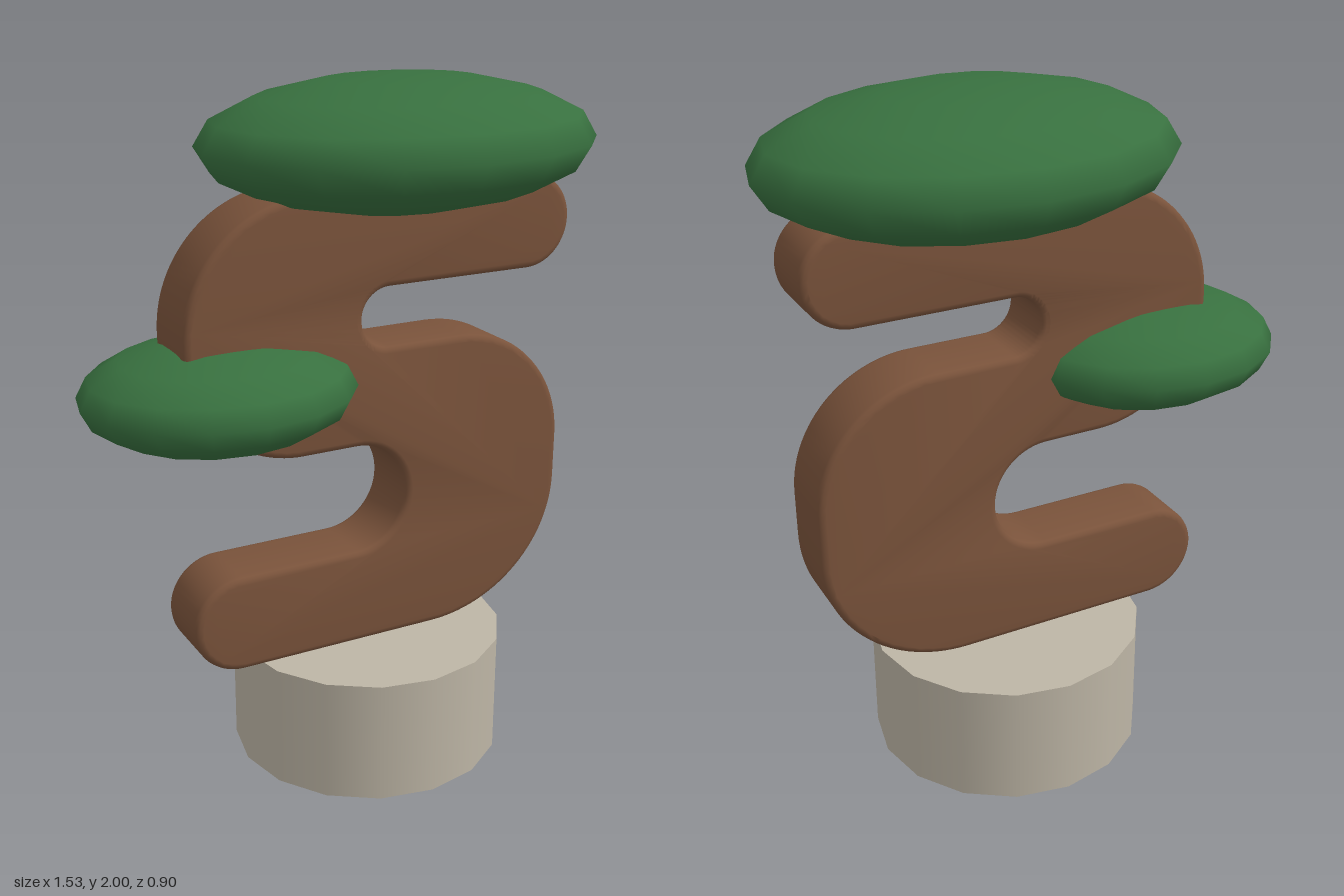
import * as THREE from 'three';
import { toCreasedNormals } from 'three/addons/utils/BufferGeometryUtils.js';

const material = (name, color) => {
  const m = new THREE.MeshStandardMaterial({ color });
  m.name = name;
  return m;
};

// S-shaped outline of the trunk, counter-clockwise from the bottom bar
function trunkOutline() {
  const s = new THREE.Shape();
  const q = Math.PI / 2;
  s.moveTo(-0.365, 0.365);
  s.lineTo(0.26, 0.365);
  // outer right bend
  s.absellipse(0.26, 0.77, 0.43, 0.405, -q, 0, false, 0);
  s.lineTo(0.69, 0.905);
  s.absarc(0.33, 0.905, 0.36, 0, q, false);
  // upper notch
  s.lineTo(0.1, 1.265);
  s.absarc(0.1, 1.35, 0.085, -q, -2 * q, true);
  s.absarc(0.1, 1.35, 0.085, 2 * q, q, true);
  // rounded end of the top bar
  s.lineTo(0.555, 1.435);
  s.absarc(0.555, 1.573, 0.138, -q, q, false);
  // outer left bend
  s.lineTo(-0.145, 1.711);
  s.absarc(-0.145, 1.341, 0.37, q, 2 * q, false);
  s.absarc(-0.17, 1.325, 0.345, 2 * q, 3 * q, false);
  // lower notch
  s.lineTo(0, 0.98);
  s.absarc(0, 0.8175, 0.1625, q, -q, true);
  // rounded end of the bottom bar
  s.lineTo(-0.365, 0.655);
  s.absarc(-0.365, 0.51, 0.145, q, 3 * q, false);
  return s;
}

export function createModel() {
  const group = new THREE.Group();
  const leaf = material('leaf green', 0x38703f);
  const bark = material('bark brown', 0x7a533b);
  const stone = material('stone grey', 0xbdb5a5);

  const add = (name, geometry, mat, x = 0, y = 0, z = 0) => {
    const mesh = new THREE.Mesh(geometry, mat);
    mesh.name = name;
    mesh.position.set(x, y, z);
    group.add(mesh);
    return mesh;
  };

  // round pot
  add('pot', new THREE.CylinderGeometry(0.405, 0.405, 0.365, 16), stone, 0.087, 0.1825);

  // flat trunk with softened edges
  const bevel = 0.02, half = 0.106;
  const trunk = new THREE.ExtrudeGeometry(trunkOutline(), {
    depth: 2 * (half - bevel),
    bevelSize: bevel,
    bevelThickness: bevel,
    bevelOffset: -bevel,
    bevelSegments: 3,
    curveSegments: 14,
  });
  trunk.translate(0, 0, bevel - half);
  add('trunk', toCreasedNormals(trunk, 0.7), bark);

  // flattened foliage pads
  const pads = [
    ['topFoliage', [0.18, 1.815, 0], [0.585, 0.185, 0.45]],
    ['sideFoliage', [-0.377, 1.178, 0], [0.393, 0.149, 0.338]],
  ];
  for (const [name, p, r] of pads) {
    const pad = new THREE.SphereGeometry(1, 16, 8).scale(...r);
    add(name, pad, leaf, ...p);
  }
  return group;
}
